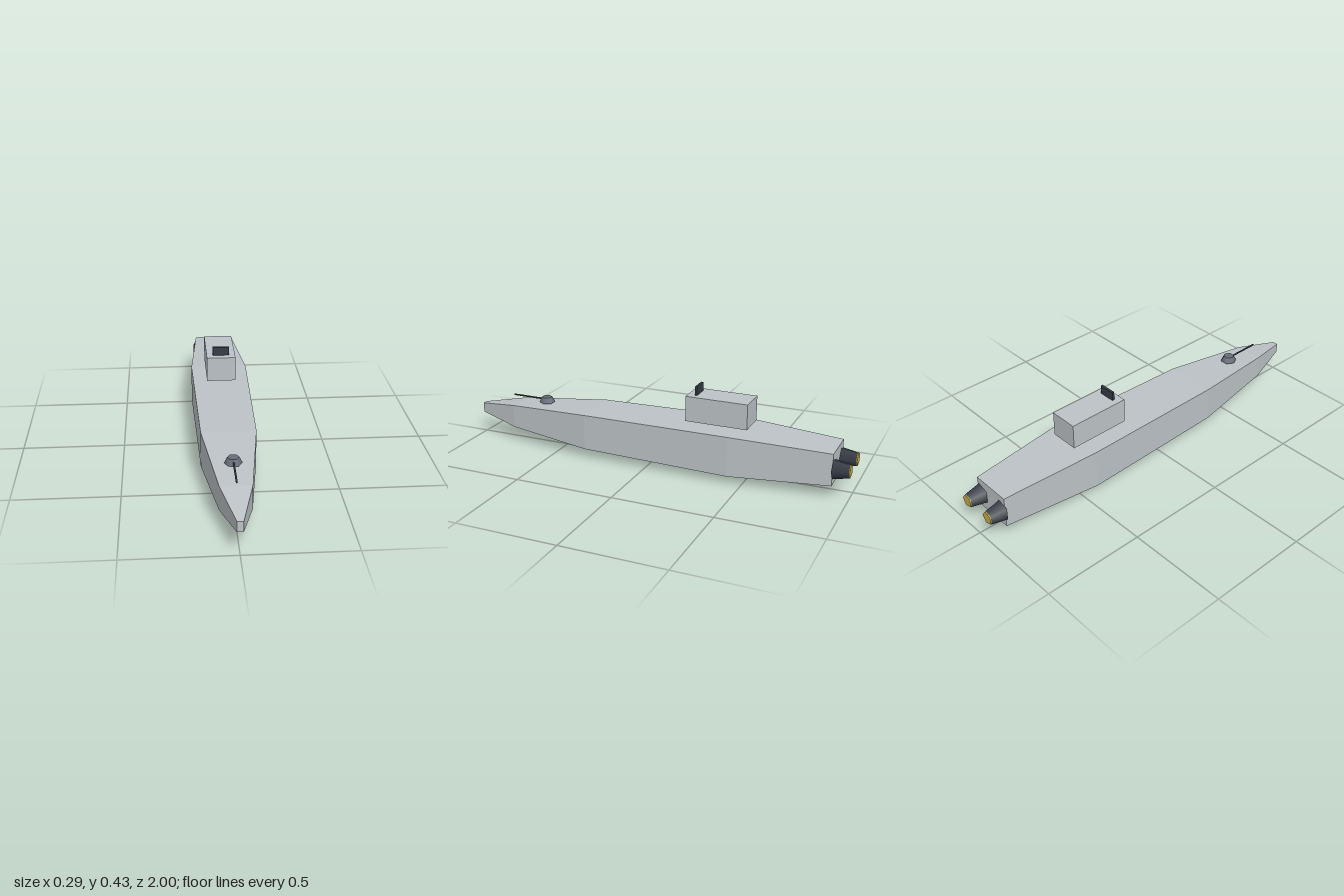
import * as THREE from 'three';

const paint = (name, color) => {
  const m = new THREE.MeshStandardMaterial({ color });
  m.name = name;
  return m;
};

export function createModel() {
  const hullGrey = paint('hull grey', 0xbcc2c6);
  const turretGrey = paint('turret grey', 0x666d7a);
  const darkSteel = paint('dark steel', 0x363c46);
  const glowYellow = paint('exhaust yellow', 0xc9ae48);

  const ship = new THREE.Group();
  ship.name = 'ship';
  const add = (name, geometry, material, x, y, z, parent = ship) => {
    const mesh = new THREE.Mesh(geometry, material);
    mesh.name = name;
    mesh.position.set(x, y, z);
    parent.add(mesh);
    return mesh;
  };

  // Hull: a segmented box fitted to stations of [z, half width, bottom, top]
  const stations = [
    [1, 0.014, 0.112, 0.162],
    [0.775, 0.072, 0.078, 0.197],
    [0.33, 0.13, 0.047, 0.227],
    [-0.43, 0.145, 0.038, 0.236],
    [-0.92, 0.102, 0.06, 0.217],
  ];
  const box = new THREE.BoxGeometry(1, 1, 1, 1, 1, stations.length - 1);
  const p = box.attributes.position;
  for (let i = 0; i < p.count; i++) {
    const [z, w, lo, hi] = stations[Math.round((0.5 - p.getZ(i)) * (stations.length - 1))];
    p.setXYZ(i, Math.sign(p.getX(i)) * w, p.getY(i) > 0 ? hi : lo, z);
  }
  const hull = box.toNonIndexed();
  hull.computeVertexNormals();
  add('hull', hull, hullGrey, 0, 0, 0);

  // Bridge block with its sensor panel
  add('bridge', new THREE.BoxGeometry(0.145, 0.125, 0.31), hullGrey, 0, 0.3195, -0.345);
  add('sensorPanel', new THREE.BoxGeometry(0.082, 0.045, 0.012), darkSteel, 0, 0.403, -0.231);

  // Gun barrel along z
  const barrelGeometry = new THREE.CylinderGeometry(0.0045, 0.0045, 0.172, 6).rotateX(Math.PI / 2);

  // Six-sided turrets, the rear one set under the bridge
  const turretGeometry = new THREE.CylinderGeometry(0.027, 0.041, 0.028, 6).rotateY(Math.PI / 6);
  for (const [name, y, z] of [['frontTurret', 0.232, 0.613], ['rearTurret', 0.266, -0.437]]) {
    const turret = new THREE.Group();
    turret.name = name;
    turret.position.set(0, y, z);
    add('turretBase', turretGeometry, turretGrey, 0, 0, 0, turret);
    add('gunBarrel', barrelGeometry, darkSteel, 0, 0, 0.11, turret);
    ship.add(turret);
  }
  add('bellyGunBarrel', barrelGeometry, darkSteel, 0, 0.0045, 0.196);

  // Five-sided engine nozzles with glowing ends
  const aft = (front, back, length) =>
    new THREE.CylinderGeometry(front, back, length, 5, 1, false, Math.PI / 2).rotateX(Math.PI / 2);
  const nozzleGeometry = aft(0.05, 0.034, 0.077);
  const exhaustGeometry = aft(0.034, 0.033, 0.004);
  for (const side of [-1, 1]) {
    add('engineNozzle', nozzleGeometry, darkSteel, side * 0.077, 0.139, -0.9575);
    add('engineExhaust', exhaustGeometry, glowYellow, side * 0.077, 0.139, -0.998);
  }
  return ship;
}
